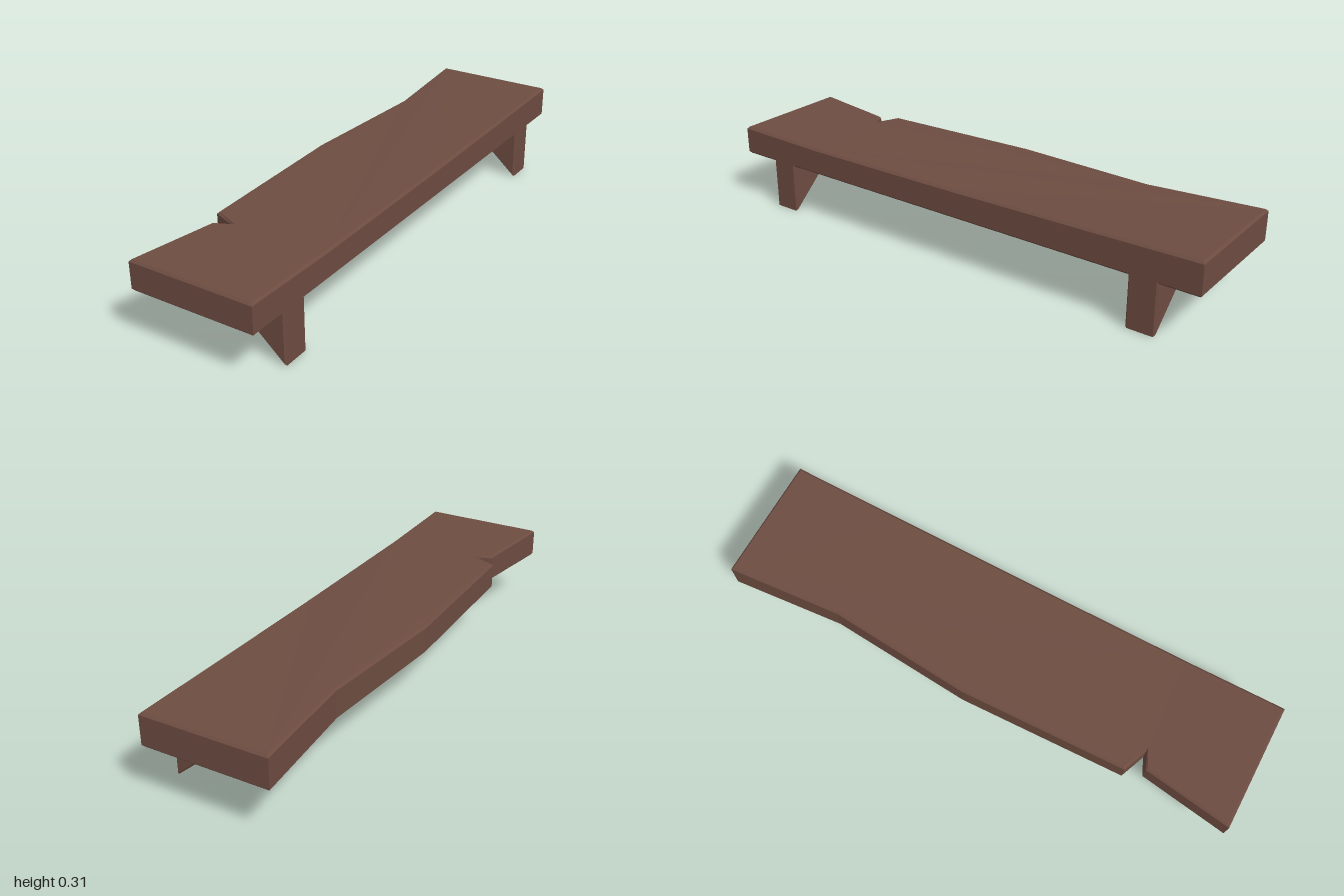
import * as THREE from 'three';

const wood = new THREE.MeshStandardMaterial({ color: 0x6d4c41 });
wood.name = 'brown wood';

const BOTTOM = 0.19, BEVEL = 0.008;

// Height of the plank's top along its length, as [z, y]
const TOP = [[-1, 0.315], [-0.57, 0.307], [-0.03, 0.299], [0.62, 0.295], [1, 0.303]];
function topHeight(z) {
  for (let i = 1; i < TOP.length; i++) {
    const [z0, y0] = TOP[i - 1], [z1, y1] = TOP[i];
    if (z <= z1 || i === TOP.length - 1) return y0 + (y1 - y0) * (z - z0) / (z1 - z0);
  }
}

// Extrusion with a chamfer that stays inside the outline
function chamferedExtrude(points, thickness, bevel) {
  const shape = new THREE.Shape(points.map(([x, y]) => new THREE.Vector2(x, y)));
  const geometry = new THREE.ExtrudeGeometry(shape, {
    depth: thickness - 2 * bevel, bevelEnabled: true, bevelSegments: 1,
    bevelSize: bevel, bevelThickness: bevel, bevelOffset: -bevel,
  });
  return geometry.translate(0, 0, bevel);
}

// Plank with one straight edge and one worn, notched edge
function makePlank() {
  const outline = [ // x, z
    [0.24, 1], [0.24, 0.62], [0.24, -0.03], [0.24, -0.57], [0.24, -1],
    [-0.236, -1], [-0.2, -0.57], [-0.242, -0.03], [-0.221, 0.6],
    [-0.125, 0.638], [-0.187, 0.665], [-0.236, 1],
  ].map(([x, z]) => [x, -z]);
  const thickness = 0.1;
  const geometry = chamferedExtrude(outline, thickness, BEVEL);
  geometry.rotateX(-Math.PI / 2).translate(0, BOTTOM, 0);

  // Slope the top surface
  const p = geometry.attributes.position;
  for (let i = 0; i < p.count; i++) {
    if (p.getY(i) > BOTTOM + thickness / 2) {
      p.setY(i, p.getY(i) + topHeight(p.getZ(i)) - BOTTOM - thickness);
    }
  }
  geometry.computeVertexNormals();
  const plank = new THREE.Mesh(geometry, wood);
  plank.name = 'plank';
  return plank;
}

// Angled support, its top sunk slightly into the plank
function makeBracket(z, name) {
  const profile = [
    [0.24, 0], [0.24, 0.2], [-0.125, 0.2], [0.1, 0.118], [0.234, 0.002],
  ];
  const bracket = new THREE.Mesh(chamferedExtrude(profile, 0.108, 0.006), wood);
  bracket.position.z = z - 0.054;
  bracket.name = name;
  return bracket;
}

export function createModel() {
  const model = new THREE.Group();
  model.name = 'shelf';
  model.add(makePlank(), makeBracket(0.8, 'frontBracket'), makeBracket(-0.8, 'backBracket'));
  return model;
}
